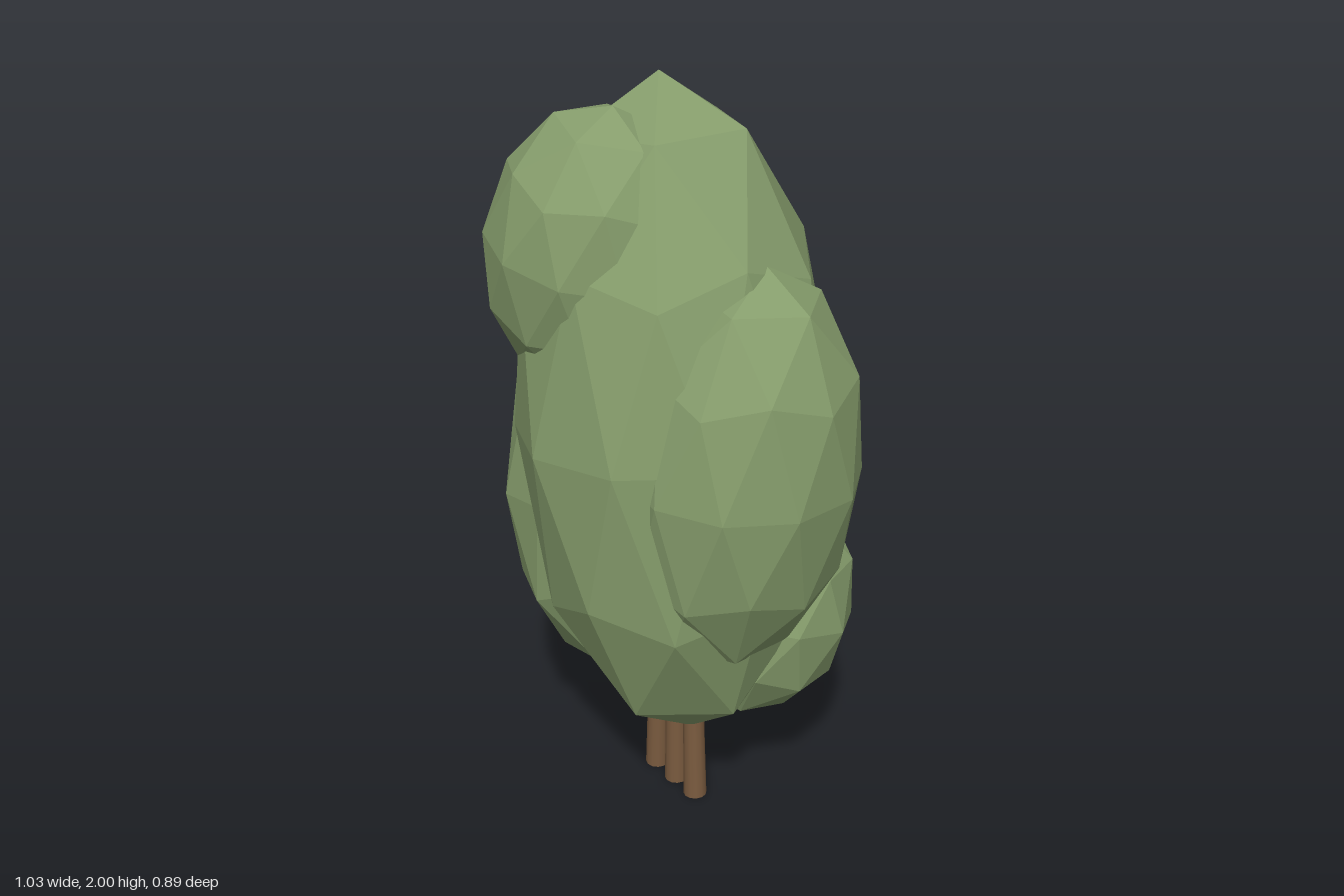
import * as THREE from 'three';

// Faceted ball with a vertex at each pole, stretched to radii, turned by yaw, then tilted
function leafBlob(name, material, { at, radii, yaw, tiltX, tiltZ }) {
  const geo = new THREE.IcosahedronGeometry(1, 1);
  geo.rotateZ(-Math.atan(2 / (1 + Math.sqrt(5))));
  geo.rotateY(-THREE.MathUtils.degToRad(yaw));
  geo.scale(...radii);
  geo.computeVertexNormals();
  const mesh = new THREE.Mesh(geo, material);
  mesh.name = name;
  mesh.position.set(...at);
  mesh.rotation.set(tiltX, 0, tiltZ);
  return mesh;
}

export function createModel() {
  const tree = new THREE.Group();
  tree.name = 'tree';

  const leaf = new THREE.MeshStandardMaterial({ color: 0x869d6c, flatShading: true });
  leaf.name = 'leafGreen';
  const bark = new THREE.MeshStandardMaterial({ color: 0x7a5b3f });
  bark.name = 'barkBrown';

  // Foliage: one tall core with four clumps around it
  const blobs = {
    coreFoliage: { at: [0, 1.115, 0.02], radii: [0.41, 0.89, 0.415], yaw: 39, tiltX: -0.015, tiltZ: 0.097 },
    leftFoliage: { at: [0.25, 1.06, -0.01], radii: [0.268, 0.55, 0.315], yaw: -11, tiltX: -0.06, tiltZ: -0.05 },
    rightFoliage: { at: [-0.265, 0.84, 0.04], radii: [0.25, 0.55, 0.305], yaw: 18, tiltX: -0.08, tiltZ: 0.16 },
    upperFrontFoliage: { at: [-0.12, 1.585, 0.19], radii: [0.27, 0.37, 0.26], yaw: -4, tiltX: -0.08, tiltZ: -0.18 },
    lowerBackFoliage: { at: [0.08, 0.565, -0.19], radii: [0.28, 0.335, 0.255], yaw: -2, tiltX: -0.25, tiltZ: 0 },
  };
  for (const [name, spec] of Object.entries(blobs)) tree.add(leafBlob(name, leaf, spec));

  // Three slim stems, leaning slightly inward
  const stemHeight = 0.6;
  const stemGeo = new THREE.CylinderGeometry(0.024, 0.032, stemHeight, 12);
  stemGeo.translate(0, stemHeight / 2, 0);
  for (const [i, x] of [-0.093, 0, 0.089].entries()) {
    const stem = new THREE.Mesh(stemGeo, bark);
    stem.name = `stem${i + 1}`;
    stem.position.set(x, 0, 0.02);
    stem.rotation.z = x * 0.35;
    tree.add(stem);
  }
  return tree;
}
